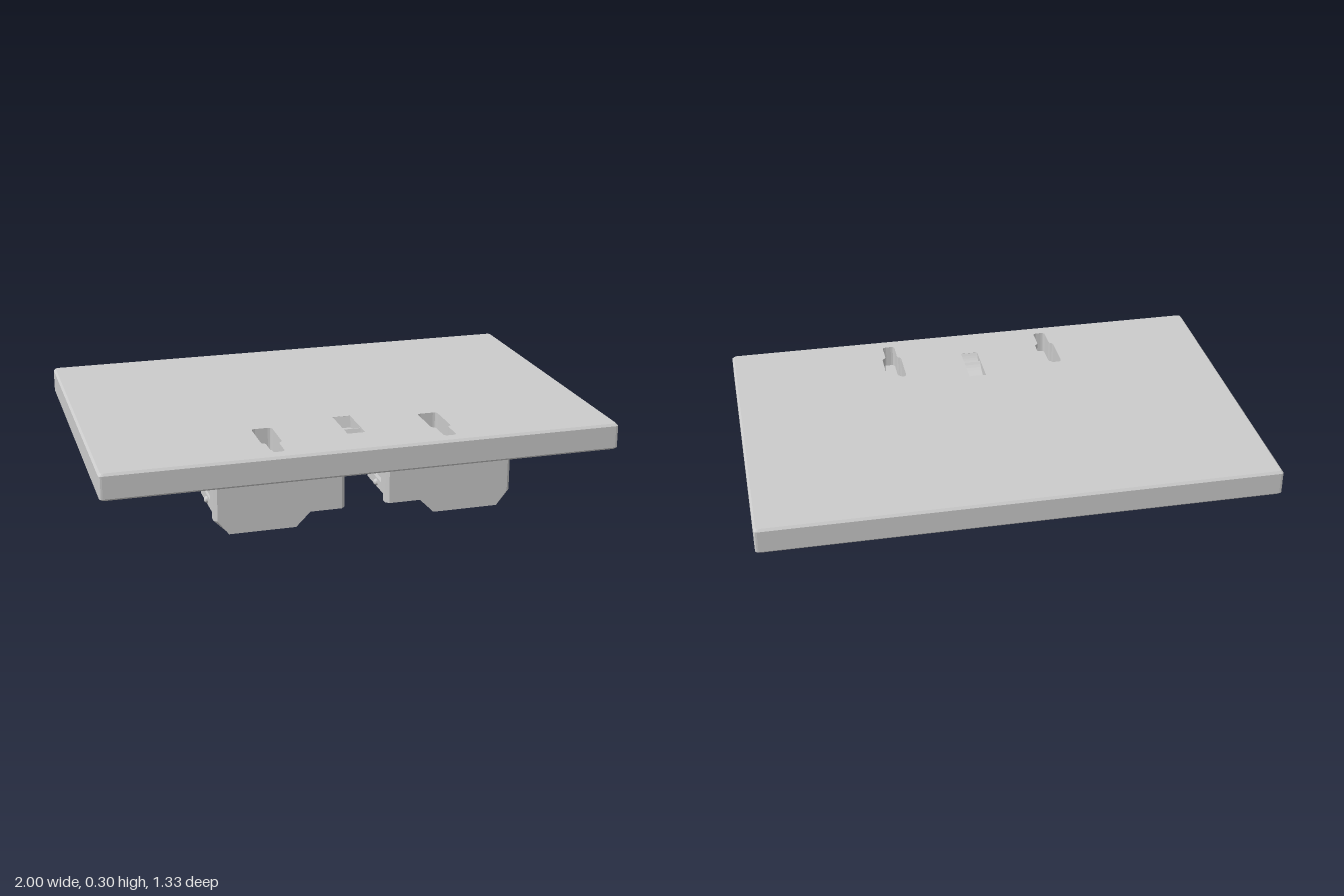
import * as THREE from 'three';

const material = new THREE.MeshStandardMaterial({ color: 0xcccccc, flatShading: true });

function add(group, name, geometry) {
  const mesh = new THREE.Mesh(geometry, material);
  mesh.name = name;
  group.add(mesh);
  return mesh;
}

// Closed outline with every corner rounded by r
function rounded(points, r, Type = THREE.Shape) {
  const path = new Type();
  const pts = points.map(([x, y]) => new THREE.Vector2(x, y));
  pts.forEach((p, i) => {
    const toward = (q) => {
      const d = q.clone().sub(p);
      return p.clone().add(d.setLength(Math.min(r, d.length() / 2)));
    };
    const a = toward(pts[(i + pts.length - 1) % pts.length]);
    const b = toward(pts[(i + 1) % pts.length]);
    if (i === 0) path.moveTo(a.x, a.y);
    else path.lineTo(a.x, a.y);
    path.quadraticCurveTo(p.x, p.y, b.x, b.y);
  });
  path.closePath();
  return path;
}

// Outlines are drawn in plan as (x, z); rectangles run counter-clockwise after the flip
const plan = (points) => points.map(([x, z]) => [x, -z]);
const rect = ([x0, x1, z0, z1]) => [[x0, z1], [x1, z1], [x1, z0], [x0, z0]];
const polygon = (points) => new THREE.Shape(points.map(([x, y]) => new THREE.Vector2(x, y)));

// Horizontal slab between two heights
function slab(shape, y0, y1) {
  return new THREE.ExtrudeGeometry(shape, { depth: y1 - y0, bevelEnabled: false, curveSegments: 3 })
    .rotateX(-Math.PI / 2).translate(0, y0, 0);
}

// Plan boxes: x0, x1, z0, z1
const OUTER = [-1, 1, -0.665, 0.665];
const RECESS = [-0.925, 0.925, -0.605, 0.025];
const GROOVE = [-0.942, 0.942, 0.08, 0.195];
const SLOT = [-0.035, 0.035, 0.29, 0.49];

function keyhole(s) {
  const x = s * 0.333;
  return [[x - 0.04, 0.343], [x + 0.04, 0.343], [x + 0.04, 0.508], [x + 0.025, 0.512],
    [x + 0.025, 0.61], [x - 0.025, 0.61], [x - 0.025, 0.512], [x - 0.04, 0.508]];
}

// Slopes the wall along a box by drawing its edge at height y towards the box centre
function slopeWall(geometry, [x0, x1, z0, z1], y, amount) {
  const p = geometry.attributes.position;
  const cx = (x0 + x1) / 2, cz = (z0 + z1) / 2;
  for (let i = 0; i < p.count; i++) {
    const x = p.getX(i), z = p.getZ(i);
    const inset = Math.min(x - x0, x1 - x, z - z0, z1 - z);
    if (Math.abs(p.getY(i) - y) > 1e-4 || inset < -1e-4 || inset > 0.05) continue;
    p.setX(i, cx + (x - cx) * (1 - amount / (x1 - cx)));
    p.setZ(i, cz + (z - cz) * (1 - amount / (z1 - cz)));
  }
  geometry.computeVertexNormals();
}

// One layer of the plate with its holes and sloped walls
function plateLayer(y0, y1, holes, slopes = []) {
  const shape = rounded(plan(rect(OUTER)), 0.012);
  shape.holes = holes.map(([points, r]) => rounded(plan(points), r, THREE.Path));
  const geometry = slab(shape, y0, y1);
  for (const [box, y, amount] of slopes) slopeWall(geometry, box, y, amount);
  return geometry;
}

function buildPlate() {
  const plate = new THREE.Group();
  plate.name = 'plate';
  const topHoles = [[keyhole(1), 0.015], [keyhole(-1), 0.015], [rect(SLOT), 0.001]];
  const allHoles = [...topHoles, [rect(RECESS), 0.06], [rect(GROOVE), 0.045]];
  add(plate, 'lowerBevel', plateLayer(0.198, 0.206, allHoles, [[OUTER, 0.198, 0.008]]));
  add(plate, 'recessedLayer', plateLayer(0.206, 0.24, allHoles));
  add(plate, 'recessSlopes', plateLayer(0.24, 0.262, allHoles,
    [[RECESS, 0.262, 0.015], [GROOVE, 0.262, 0.015]]));
  add(plate, 'upperLayer', plateLayer(0.262, 0.293, topHoles));
  add(plate, 'upperBevel', plateLayer(0.293, 0.302, topHoles, [[OUTER, 0.302, 0.008]]));

  // Floors of the two keyhole pockets
  for (const s of [1, -1]) {
    add(plate, 'keyholeFloor', slab(rounded(plan(keyhole(s)), 0.015), 0.198, 0.213));
  }

  // Double curved ramp inside the centre slot
  const ramp = new THREE.Shape();
  ramp.moveTo(0.29, 0.198);
  ramp.lineTo(0.49, 0.198);
  ramp.lineTo(0.49, 0.301);
  ramp.quadraticCurveTo(0.465, 0.262, 0.437, 0.262);
  ramp.lineTo(0.425, 0.296);
  ramp.lineTo(0.42, 0.296);
  ramp.quadraticCurveTo(0.39, 0.258, 0.303, 0.258);
  ramp.lineTo(0.29, 0.301);
  add(plate, 'slotRamp', new THREE.ExtrudeGeometry(ramp, { depth: 0.07, bevelEnabled: false, curveSegments: 8 })
    .rotateY(-Math.PI / 2).translate(0.035, 0, 0));
  return plate;
}

// Plan of the U-shaped clip body, optionally notched on both flanks
function clipBody(s, notch) {
  const half = (m) => {
    const x = (d) => s * (0.33 + m * d);
    const flank = notch
      ? [[x(0.25), 0.445], [x(0.23), 0.445], [x(0.23), 0.55], [x(0.25), 0.55]] : [];
    return [[x(0.12), 0.5], [x(0.12), 0.425], [x(0.15), 0.385], [x(0.25), 0.385],
      ...flank, [x(0.25), 0.577]];
  };
  return polygon(plan([...half(1), ...half(-1).reverse()]));
}

function buildClip(s) {
  const clip = new THREE.Group();
  clip.name = s > 0 ? 'leftClip' : 'rightClip';

  // Front tab with the lower hook towards the outside
  const tab = (x0, x1) => polygon([
    [x0, 0.2], [x0, 0.055], [0.215, 0.055], [0.27, 0], [0.525, 0], [x1, 0.055], [x1, 0.2],
  ].map(([x, y]) => [s * x, y]));
  add(clip, 'frontTab', new THREE.ExtrudeGeometry(tab(0.08, 0.58), { depth: 0.026, bevelEnabled: false })
    .translate(0, 0, 0.576));

  // Face of the tab, chamfered along both upright edges
  const face = new THREE.ExtrudeGeometry(tab(0.08, 0.58), { depth: 0.013, bevelEnabled: false })
    .translate(0, 0, 0.602);
  const p = face.attributes.position;
  for (let i = 0; i < p.count; i++) {
    if (p.getZ(i) > 0.61) p.setX(i, s * THREE.MathUtils.clamp(s * p.getX(i), 0.093, 0.567));
  }
  face.computeVertexNormals();
  add(clip, 'tabFace', face);

  // Body in three layers, the middle one carrying the side slots
  add(clip, 'bodyBottom', slab(clipBody(s, false), 0.081, 0.117));
  add(clip, 'bodySlots', slab(clipBody(s, true), 0.117, 0.134));
  add(clip, 'bodyTop', slab(clipBody(s, false), 0.134, 0.2));

  // Locking bumps on both flanks
  for (const x of [0.08, 0.58]) {
    add(clip, 'lockingBump', new THREE.SphereGeometry(0.013, 12, 8)).position.set(s * x, 0.099, 0.497);
  }
  return clip;
}

export function createModel() {
  const model = new THREE.Group();
  model.name = 'mountingPlate';
  model.add(buildPlate(), buildClip(1), buildClip(-1));
  return model;
}
